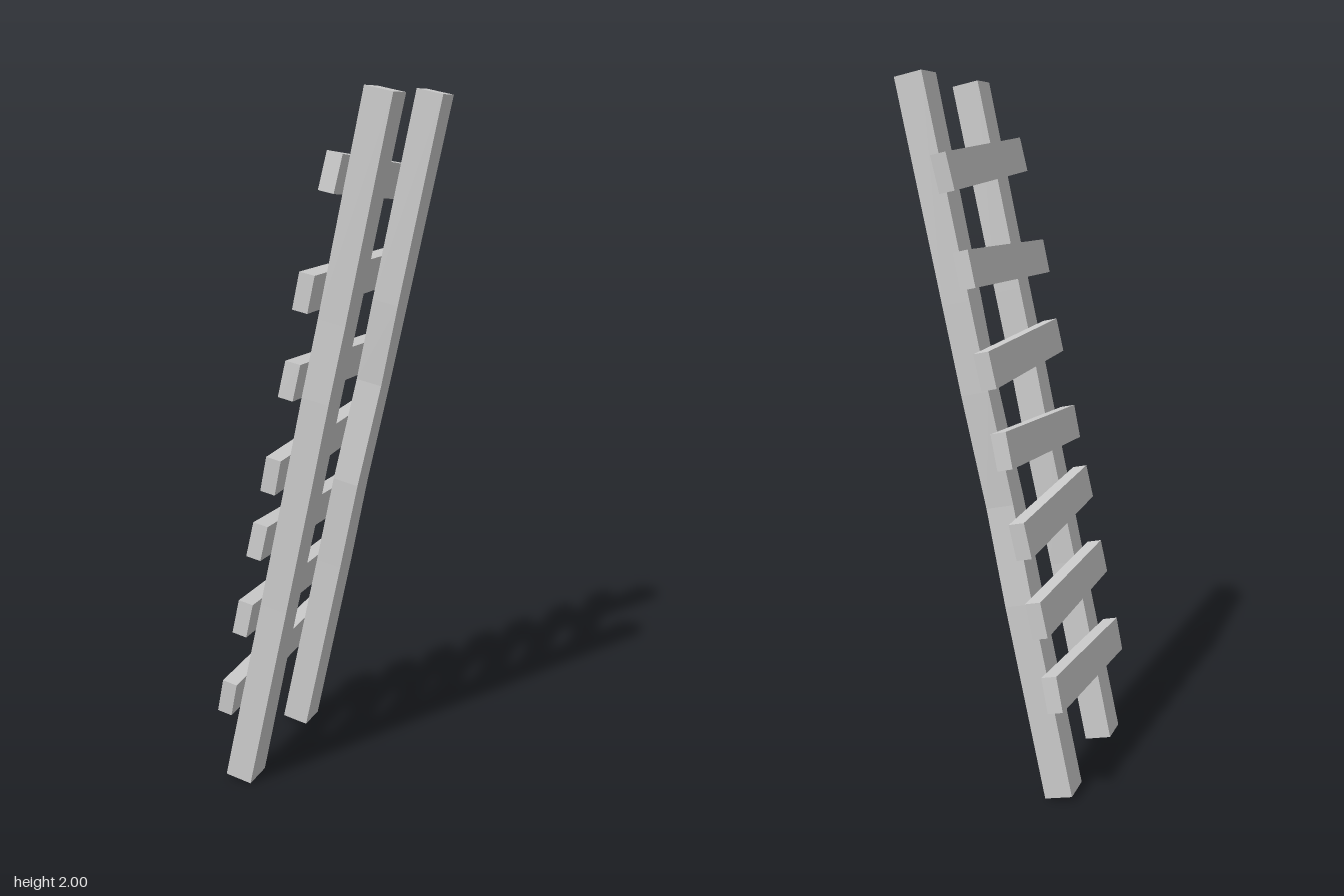
import * as THREE from 'three';

const LEAN = 0.2121;   // lean towards +x
const LENGTH = 2.028;  // rail length
const DEPTH = 0.08;    // rail depth across the lean
const RUNG_T = 0.044;  // rung thickness

export function createModel() {
  const model = new THREE.Group();
  model.name = 'ladder';
  const mat = new THREE.MeshStandardMaterial({ color: 0xcccccc, flatShading: true });

  // Everything is built upright, then leaned as one group
  const leaning = new THREE.Group();
  leaning.name = 'leaningFrame';
  leaning.position.y = 1;
  leaning.rotation.z = -LEAN;
  model.add(leaning);

  // Rough-hewn rail: each section is [height, z low, z high]
  function rail(name, sections) {
    const geo = new THREE.BoxGeometry(DEPTH, LENGTH, 1, 1, sections.length - 1, 1);
    const p = geo.attributes.position;
    for (let i = 0; i < p.count; i++) {
      const k = Math.round((p.getY(i) / LENGTH + 0.5) * (sections.length - 1));
      const [y, lo, hi] = sections[k];
      p.setY(i, y);
      p.setZ(i, p.getZ(i) < 0 ? lo : hi);
    }
    geo.computeVertexNormals();
    const mesh = new THREE.Mesh(geo, mat);
    mesh.name = name;
    leaning.add(mesh);
  }
  const H = LENGTH / 2;
  rail('frontRail', [
    [-H, 0.152, 0.254], [-0.45, 0.16, 0.25], [-0.1, 0.153, 0.25],
    [0.18, 0.16, 0.254], [0.4, 0.157, 0.25], [H, 0.154, 0.254],
  ]);
  rail('backRail', [
    [-H, -0.27, -0.17], [-0.45, -0.268, -0.17], [-0.17, -0.256, -0.165],
    [0.15, -0.267, -0.184], [0.4, -0.268, -0.175], [H, -0.27, -0.168],
  ]);

  // Uneven rungs nailed to the -x face: [front z, centre y there, back z, centre y there]
  const rungs = [
    [0.313, 0.294, -0.318, 0.332],
    [0.314, 0.545, -0.32, 0.54],
    [0.32, 0.782, -0.318, 0.758],
    [0.314, 0.972, -0.318, 1.003],
    [0.314, 1.24, -0.318, 1.217],
    [0.335, 1.48, -0.318, 1.483],
    [0.311, 1.786, -0.328, 1.734],
  ];
  const toLocal = (y) => (y - 1 - 0.013) / Math.cos(LEAN);
  rungs.forEach(([z1, y1, z2, y2], i) => {
    const a = toLocal(y1), b = toLocal(y2);
    const mesh = new THREE.Mesh(new THREE.BoxGeometry(RUNG_T, 0.102, Math.hypot(z1 - z2, a - b)), mat);
    mesh.name = `rung${i + 1}`;
    mesh.position.set(-(DEPTH + RUNG_T) / 2, (a + b) / 2, (z1 + z2) / 2);
    mesh.rotation.x = -Math.atan2(a - b, z1 - z2);
    leaning.add(mesh);
  });

  return model;
}
